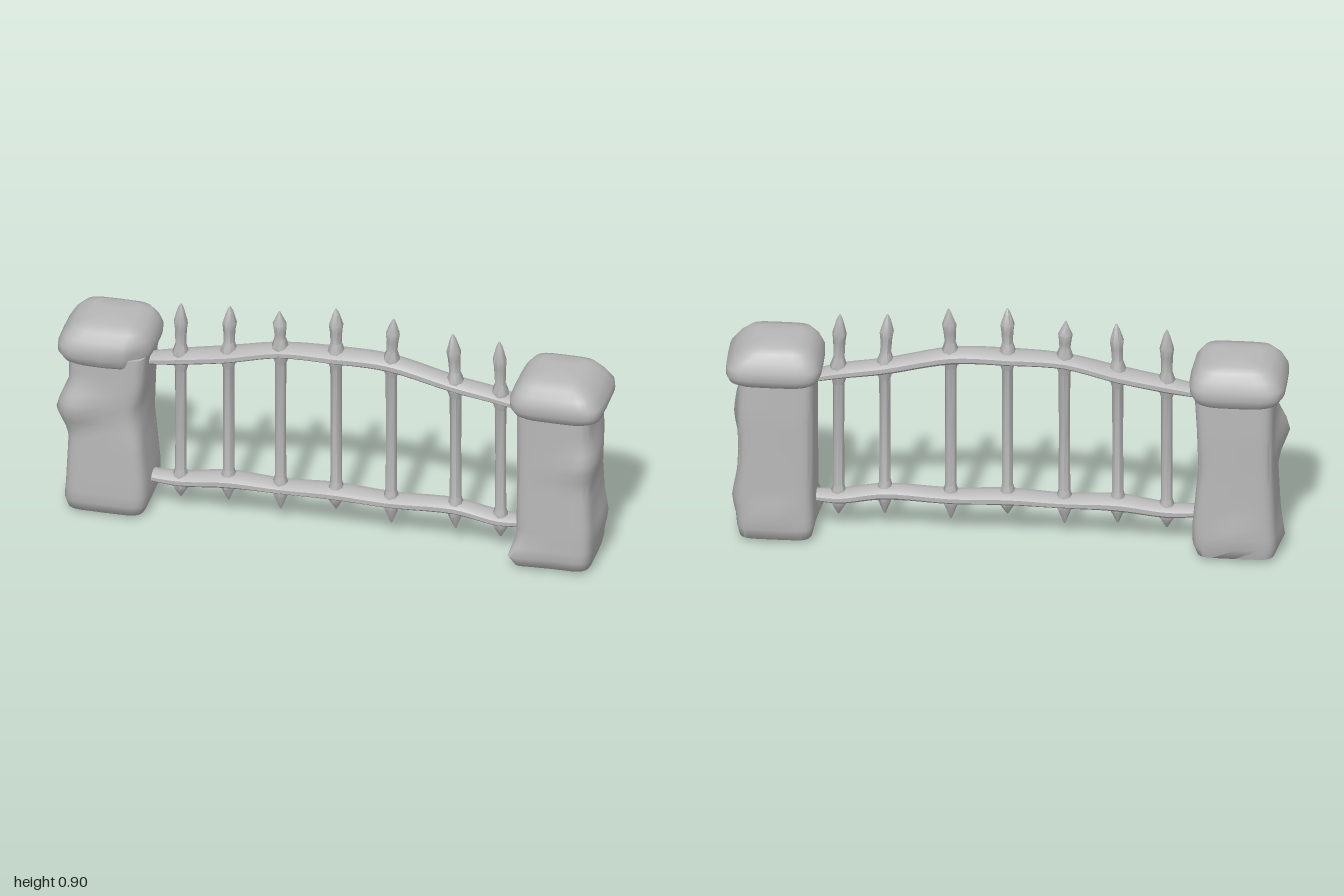
import * as THREE from 'three';
import { toCreasedNormals } from 'three/addons/utils/BufferGeometryUtils.js';

// Skin a list of equal-length rings of Vector3 and close both ends
function loft(rings, crease = 0.8) {
  const n = rings[0].length, pos = [], index = [];
  rings.forEach(r => r.forEach(p => pos.push(p.x, p.y, p.z)));
  for (let i = 0; i < rings.length - 1; i++) {
    for (let j = 0; j < n; j++) {
      const k = (j + 1) % n, a = i * n + j, b = i * n + k;
      index.push(a, a + n, b, b, a + n, b + n);
    }
  }
  [0, rings.length - 1].forEach(e => {
    const c = rings[e].reduce((s, p) => s.add(p), new THREE.Vector3()).divideScalar(n);
    const ci = pos.length / 3;
    pos.push(c.x, c.y, c.z);
    for (let j = 0; j < n; j++) {
      const a = e * n + j, b = e * n + (j + 1) % n;
      index.push(ci, e ? b : a, e ? a : b);
    }
  });
  const g = new THREE.BufferGeometry();
  g.setAttribute('position', new THREE.Float32BufferAttribute(pos, 3));
  g.setIndex(index);
  return toCreasedNormals(g, crease);
}

// Rounded rectangle ring at height y
function squareRing(y, x0, x1, z0, z1, power = 6, n = 32) {
  const e = 2 / power;
  return Array.from({ length: n }, (_, j) => {
    const t = (j / n) * Math.PI * 2, c = Math.cos(t), s = Math.sin(t);
    return new THREE.Vector3(
      (x0 + x1) / 2 + Math.sign(c) * Math.abs(c) ** e * (x1 - x0) / 2, y,
      (z0 + z1) / 2 + Math.sign(s) * Math.abs(s) ** e * (z1 - z0) / 2);
  });
}

// Rows are [y, x0, x1, z0, z1]; chips are [x, y, z, radius, pushX, pushZ]
function stone(rows, chips = [], power = 6) {
  const rings = rows.map(r => squareRing(...r, power));
  rings.flat().forEach(p => {
    const q = p.clone();
    chips.forEach(([x, y, z, r, px, pz]) => {
      const w = Math.max(0, 1 - q.distanceTo(new THREE.Vector3(x, y, z)) / r);
      p.x += px * w;
      p.z += pz * w;
    });
  });
  return loft(rings, 1.0);
}

// Fill the gaps between key rows so chips have vertices to move
function subdivide(keys, step = 0.035) {
  const out = [];
  keys.forEach((k, i) => {
    out.push(k);
    const next = keys[i + 1];
    if (!next) return;
    const m = Math.floor((next[0] - k[0]) / step);
    for (let s = 1; s < m; s++) out.push(k.map((v, c) => v + (next[c] - v) * s / m));
  });
  return out;
}

export function createModel() {
  const group = new THREE.Group();
  const iron = new THREE.MeshStandardMaterial({ color: 0xb8b8b8 });
  iron.name = 'stone grey';
  const add = (name, geometry) => {
    const mesh = new THREE.Mesh(geometry, iron);
    mesh.name = name;
    group.add(mesh);
  };

  // Worn stone pillars
  add('rightPillar', stone(subdivide([
    [0.01, -0.93, -0.71, -0.11, 0.10],
    [0.02, -0.96, -0.68, -0.14, 0.125],
    [0.06, -0.97, -0.665, -0.148, 0.14],
    [0.14, -0.965, -0.665, -0.148, 0.14],
    [0.35, -0.955, -0.685, -0.145, 0.135],
    [0.50, -0.955, -0.68, -0.145, 0.135],
    [0.66, -0.955, -0.67, -0.14, 0.135],
  ]), [
    [-0.955, 0.43, 0.08, 0.11, -0.045, 0.02],
    [-0.97, 0.07, 0, 0.09, -0.02, 0],
    [-0.90, 0.45, 0.135, 0.1, 0, 0.03],
    [-0.68, 0.42, 0.13, 0.1, -0.02, -0.01],
    [-0.82, 0.11, -0.148, 0.08, 0, -0.015],
  ]));
  add('leftPillar', stone(subdivide([
    [0.005, 0.72, 0.92, -0.11, 0.10],
    [0.02, 0.69, 0.95, -0.14, 0.125],
    [0.06, 0.68, 0.96, -0.146, 0.14],
    [0.17, 0.683, 0.965, -0.146, 0.14],
    [0.35, 0.683, 0.955, -0.145, 0.135],
    [0.50, 0.683, 0.96, -0.145, 0.135],
    [0.66, 0.683, 0.955, -0.14, 0.135],
  ]), [
    [0.96, 0.46, 0.04, 0.11, 0.03, 0],
    [0.965, 0.17, -0.05, 0.09, 0.02, 0],
    [0.69, 0.05, 0.12, 0.08, -0.03, 0.025],
    [0.93, 0.45, 0.13, 0.08, 0, 0.02],
    [0.85, 0.11, -0.146, 0.08, 0, -0.015],
  ]));

  // Domed cap stones
  add('rightCap', stone([
    [0.62, -0.95, -0.685, -0.14, 0.135],
    [0.63, -0.975, -0.67, -0.15, 0.145],
    [0.66, -0.995, -0.655, -0.163, 0.157],
    [0.69, -0.995, -0.652, -0.16, 0.157],
    [0.725, -0.975, -0.665, -0.147, 0.147],
    [0.755, -0.945, -0.69, -0.13, 0.125],
    [0.768, -0.90, -0.73, -0.10, 0.08],
    [0.773, -0.85, -0.78, -0.04, 0.03],
  ], [[-0.68, 0.66, 0.15, 0.09, -0.035, -0.02]], 5));
  add('leftCap', stone([
    [0.625, 0.69, 0.965, -0.14, 0.135],
    [0.635, 0.672, 0.99, -0.15, 0.145],
    [0.66, 0.658, 1.0, -0.163, 0.157],
    [0.69, 0.658, 0.998, -0.16, 0.157],
    [0.725, 0.675, 0.97, -0.147, 0.147],
    [0.755, 0.70, 0.935, -0.13, 0.125],
    [0.768, 0.735, 0.90, -0.10, 0.08],
    [0.773, 0.79, 0.85, -0.04, 0.03],
  ], [], 5));

  // Hand-forged rails: points are [x, y, half height, half depth]
  const rail = points => {
    const curve = new THREE.CatmullRomCurve3(points.map(p => new THREE.Vector3(p[0], p[1], 0.005)));
    const steps = 40, last = points.length - 1;
    return loft(Array.from({ length: steps + 1 }, (_, i) => {
      const u = i / steps, c = curve.getPoint(u);
      const k = Math.min(last - 1, Math.floor(u * last)), f = u * last - k;
      const mix = d => points[k][d] + (points[k + 1][d] - points[k][d]) * f;
      return Array.from({ length: 10 }, (_, j) => {
        const t = (j / 10) * Math.PI * 2;
        return new THREE.Vector3(c.x, c.y + Math.cos(t) * mix(2), c.z - Math.sin(t) * mix(3));
      });
    }));
  };
  add('topRail', rail([
    [-0.71, 0.605, 0.018, 0.035], [-0.57, 0.63, 0.026, 0.045], [-0.39, 0.665, 0.026, 0.052],
    [-0.20, 0.708, 0.024, 0.045], [0, 0.716, 0.026, 0.052], [0.20, 0.712, 0.028, 0.046],
    [0.44, 0.658, 0.026, 0.044], [0.60, 0.632, 0.024, 0.046], [0.71, 0.605, 0.018, 0.035],
  ]));
  add('bottomRail', rail([
    [-0.71, 0.135, 0.018, 0.035], [-0.57, 0.13, 0.025, 0.042], [-0.39, 0.152, 0.028, 0.05],
    [-0.20, 0.15, 0.022, 0.045], [0, 0.157, 0.026, 0.05], [0.20, 0.15, 0.024, 0.046],
    [0.44, 0.157, 0.026, 0.042], [0.60, 0.132, 0.024, 0.044], [0.71, 0.135, 0.018, 0.035],
  ]));

  // Upright bars with spear tips: [x, bottom y, bottom rail y, top rail y, tip y, tip lean]
  [
    [-0.565, 0.06, 0.13, 0.63, 0.848, 0],
    [-0.39, 0.07, 0.152, 0.665, 0.863, 0.005],
    [-0.20, 0.06, 0.15, 0.708, 0.867, -0.005],
    [0.003, 0.088, 0.157, 0.716, 0.907, 0],
    [0.205, 0.06, 0.15, 0.712, 0.895, 0.008],
    [0.44, 0.07, 0.157, 0.658, 0.863, -0.01],
    [0.605, 0.06, 0.132, 0.632, 0.855, -0.005],
  ].forEach(([x, y0, yb, yt, y1, lean], i) => {
    const blade = yt + (y1 - yt) * 0.62;
    const rows = [
      [y0, 0.003, 0.003], [yb - 0.03, 0.027, 0.03], [yb + 0.02, 0.028, 0.03],
      [yb + 0.045, 0.021, 0.022], [(yb + yt) / 2, 0.02, 0.022], [yt - 0.05, 0.021, 0.022],
      [yt - 0.02, 0.03, 0.032], [yt + 0.022, 0.031, 0.035], [yt + 0.055, 0.02, 0.022],
      [blade - 0.02, 0.022, 0.024], [blade + 0.01, 0.026, 0.029],
      [y1 - 0.02, 0.012, 0.014], [y1, 0.003, 0.004],
    ];
    add('spearBar' + (i + 1), loft(rows.map(([y, rx, rz]) => {
      const shift = lean * Math.max(0, (y - yt) / (y1 - yt));
      return Array.from({ length: 8 }, (_, j) => {
        const t = (j / 8) * Math.PI * 2 + i * 0.4;
        return new THREE.Vector3(x + shift + Math.cos(t) * rx, y, 0.008 + Math.sin(t) * rz);
      });
    })));
  });

  return group;
}
